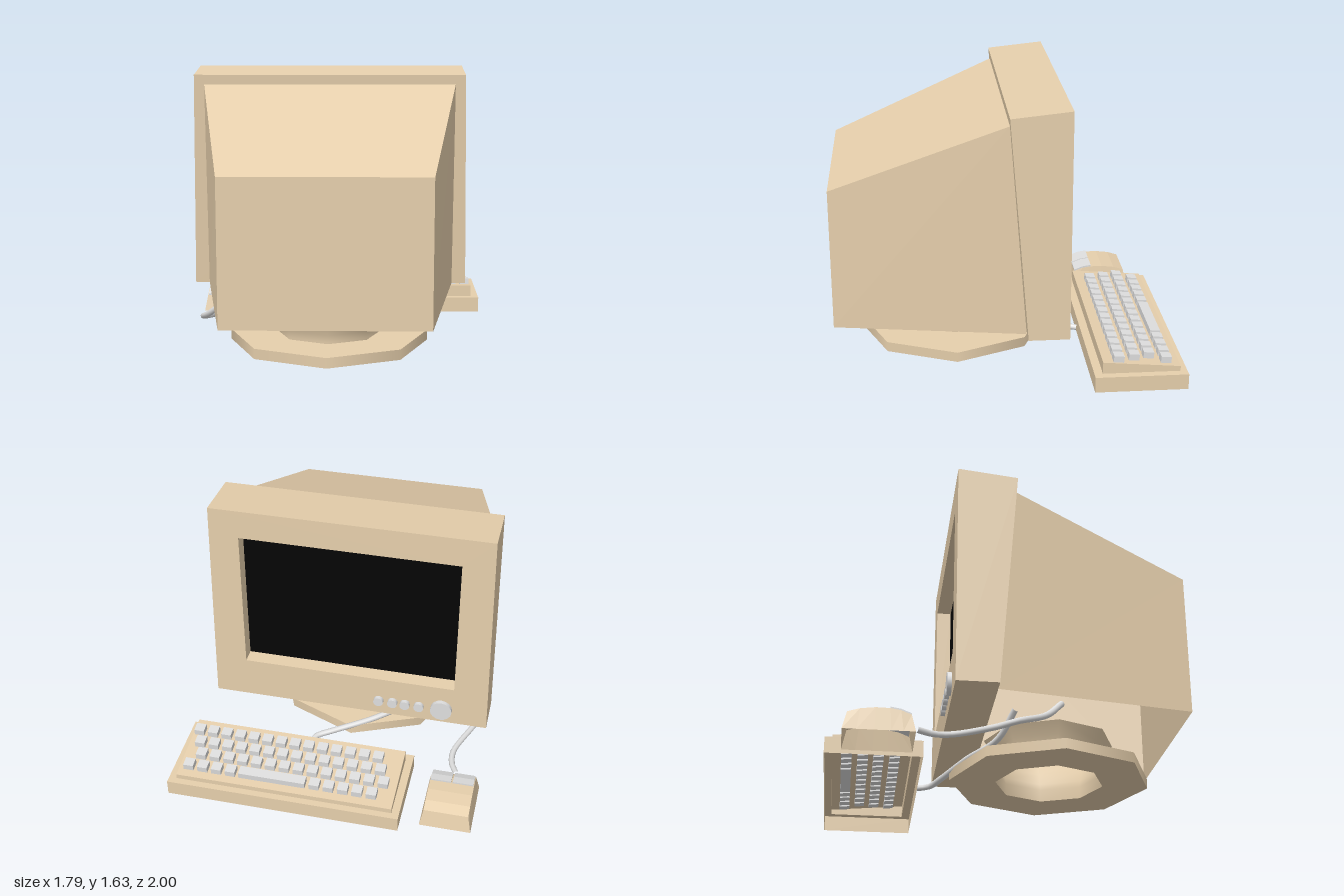
import * as THREE from 'three';

const CX = -0.06; // monitor centre line
const mat = (name, color, side = THREE.FrontSide) => {
  const m = new THREE.MeshStandardMaterial({ color, side });
  m.name = name;
  return m;
};

// Upright four-cornered cross-section: half widths at bottom and top
const ring = (cx, wBottom, wTop, y0, y1, zBottom, zTop = zBottom) => [
  [cx - wBottom, y0, zBottom], [cx + wBottom, y0, zBottom],
  [cx + wTop, y1, zTop], [cx - wTop, y1, zTop],
];

// Level four-cornered cross-section, with its own height at back and front
const level = (x0, x1, z0, z1, y0, y1 = y0) => [[x0, y0, z0], [x1, y0, z0], [x1, y1, z1], [x0, y1, z1]];

// Flat-faced skin over cross-sections; caps and first side (floor) are optional
function loft(rings, { capStart = true, capEnd = true, floor = true } = {}) {
  const pos = [];
  const tri = (...p) => p.forEach((v) => pos.push(...v));
  const cap = (r) => { tri(r[0], r[1], r[2]); tri(r[0], r[2], r[3]); };
  if (capStart) cap(rings[0]);
  for (let k = 0; k + 1 < rings.length; k++) {
    const a = rings[k], b = rings[k + 1];
    for (let i = floor ? 0 : 1; i < 4; i++) {
      const j = (i + 1) % 4;
      tri(a[i], b[i], b[j]);
      tri(a[i], b[j], a[j]);
    }
  }
  if (capEnd) cap([...rings[rings.length - 1]].reverse());
  const g = new THREE.BufferGeometry();
  g.setAttribute('position', new THREE.Float32BufferAttribute(pos, 3));
  g.computeVertexNormals();
  return g;
}

export function createModel() {
  const model = new THREE.Group();
  const beige = mat('beige plastic', 0xe6cfac);
  const beigeShell = mat('beige shell', 0xe6cfac, THREE.DoubleSide);
  const grey = mat('grey plastic', 0xdedede);
  const black = mat('black glass', 0x050505);

  const add = (parent, name, geo, material, x = 0, y = 0, z = 0) => {
    const m = new THREE.Mesh(geo, material);
    m.name = name;
    m.position.set(x, y, z);
    parent.add(m);
    return m;
  };
  const group = (name) => {
    const g = new THREE.Group();
    g.name = name;
    model.add(g);
    return g;
  };

  // Monitor: tapered housing open underneath, bezel with recessed opening, screen
  const monitor = group('monitor');
  add(monitor, 'tubeHousing', loft([
    ring(CX, 0.575, 0.575, 0.3, 1.13, 1),
    ring(CX, 0.75, 0.75, 0.3, 1.535, -0.097, 0.002),
  ], { capEnd: false, floor: false }), beigeShell);
  const opening = (z) => ring(-0.055, 0.635, 0.635, 0.56, 1.45, z);
  add(monitor, 'bezel', loft([
    ring(CX, 0.835, 0.81, 0.3, 1.592, -0.1, 0.006),
    ring(CX, 0.835, 0.81, 0.3, 1.627, -0.335),
    opening(-0.335),
    opening(-0.245),
  ], { capEnd: false }), beige);
  add(monitor, 'screen', new THREE.PlaneGeometry(1.27, 0.89), black, -0.055, 1.005, -0.246).rotation.y = Math.PI;

  // Control knobs under the screen
  const knobs = [[-0.62, 0.065], [-0.485, 0.03], [-0.4, 0.03], [-0.325, 0.03], [-0.24, 0.03]];
  knobs.forEach(([x, r]) => {
    const geo = new THREE.CylinderGeometry(r, r, 0.03, 16).rotateX(Math.PI / 2);
    add(monitor, 'knob', geo, grey, x, 0.4, -0.345);
  });

  // Octagonal stand: flat ring base and hollow flared neck
  const stand = group('stand');
  stand.position.set(-0.058, 0, 0.29);
  add(stand, 'baseRim', new THREE.CylinderGeometry(0.58, 0.58, 0.06, 8, 1, true), beige, 0, 0.08);
  [[0.11, -1], [0.05, 1]].forEach(([y, dir]) => {
    add(stand, 'baseFace', new THREE.RingGeometry(0.313, 0.58, 8).rotateX(dir * Math.PI / 2), beige, 0, y);
  });
  const neck = [[0.313, 0.05], [0.313, 0.12], [0.32, 0.16], [0.343, 0.23], [0.38, 0.3]];
  add(stand, 'standNeck', new THREE.LatheGeometry(neck.map((p) => new THREE.Vector2(...p)), 8), beigeShell);

  // Keyboard: hollow tray with raised sloping deck, and four staggered rows of keys
  const keyboard = group('keyboard');
  add(keyboard, 'keyboardCase', loft([
    level(-0.49, 0.894, -1, -0.467, 0.02),
    level(-0.49, 0.894, -1, -0.467, 0.113),
    level(-0.445, 0.848, -0.96, -0.515, 0.113),
    level(-0.445, 0.848, -0.96, -0.515, 0.143, 0.183),
  ], { capStart: false }), beigeShell);
  const addKey = (x, z, w = 0.06) => {
    const y = 0.183 + (z + 0.515) * 0.09;
    add(keyboard, 'key', new THREE.BoxGeometry(w, 0.05, 0.06), grey, x, y + 0.013, z).rotation.x = -0.089;
  };
  [[-0.365, -0.79], [-0.33, -0.7], [-0.297, -0.607]].forEach(([x0, z]) => {
    for (let i = 0; i < 14; i++) addKey(x0 + i * 0.085, z);
  });
  for (let i = 0; i < 5; i++) addKey(-0.314 + i * 0.085, -0.882);
  addKey(0.281, -0.882, 0.4); // space bar
  for (let i = 0; i < 4; i++) addKey(0.533 + i * 0.085, -0.882);

  // Mouse: hollow humped body with sides sloping in, and two raised buttons
  const mouse = group('mouse');
  const hump = [[-0.555, 0.1], [-0.61, 0.122], [-0.665, 0.131], [-0.74, 0.132], [-0.82, 0.122], [-0.885, 0.102]];
  const mouseRings = hump.map(([z, y]) => ring(-0.75, 0.15, 0.13, 0, y, -0.72 + (z + 0.72) * 1.14, z));
  add(mouse, 'mouseBody', loft(mouseRings, { floor: false }), beigeShell);
  [-0.815, -0.683].forEach((x) => {
    const sections = hump.slice(0, 3).map(([z, y]) => ring(x, 0.061, 0.061, y - 0.02, y + 0.01, z));
    add(mouse, 'mouseButton', loft(sections), grey);
  });

  // Cables running back to the monitor
  const cable = (name, pts) => {
    const curve = new THREE.CatmullRomCurve3(pts.map((p) => new THREE.Vector3(...p)));
    add(model, name, new THREE.TubeGeometry(curve, 24, 0.018, 8), grey);
  };
  cable('mouseCable', [[-0.755, 0.07, -0.52], [-0.715, 0.065, -0.43], [-0.71, 0.07, -0.33],
    [-0.8, 0.09, -0.1], [-0.84, 0.11, 0], [-0.78, 0.17, 0.15], [-0.63, 0.31, 0.27]]);
  cable('keyboardCable', [[0.165, 0.07, -0.46], [0.14, 0.075, -0.39], [0.04, 0.09, -0.33],
    [-0.2, 0.13, -0.2], [-0.4, 0.18, -0.05], [-0.52, 0.31, 0.03]]);

  return model;
}
